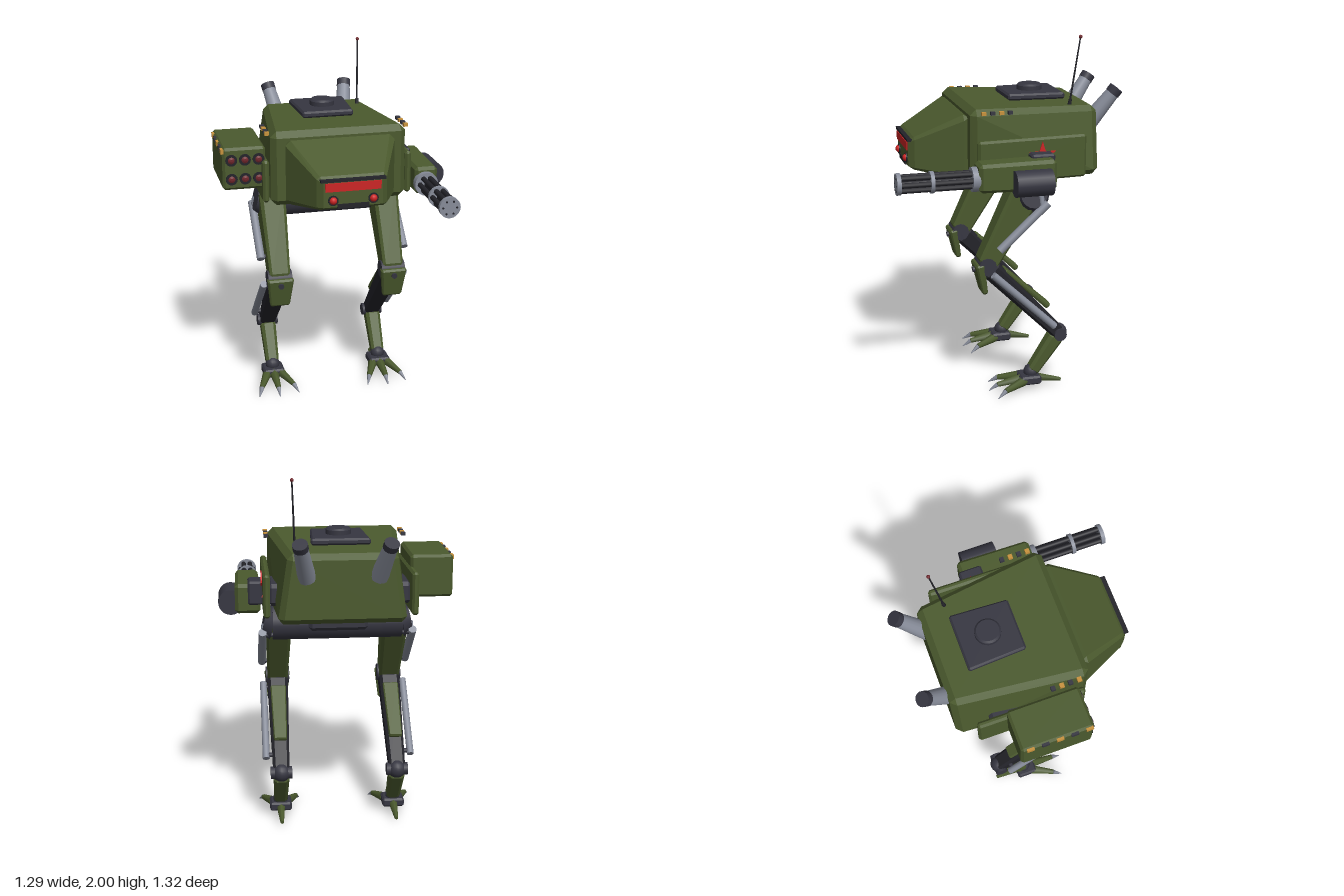
import * as THREE from 'three';
import { ConvexGeometry } from 'three/addons/geometries/ConvexGeometry.js';

const paint = (name, color) => Object.assign(new THREE.MeshStandardMaterial({ color }), { name });
const M = {
  green: paint('olive armour', 0x4b5a2e),
  dark: paint('dark grey joint', 0x363641),
  black: paint('black steel', 0x232329),
  metal: paint('bare metal', 0x878c99),
  red: paint('signal red', 0xcc2424),
  maroon: paint('warhead red', 0x70262c),
  orange: paint('marker orange', 0xc8923c),
};
const V = (x, y, z) => new THREE.Vector3(x, y, z);
const SIDES = [-1, 1];

function add(parent, name, geo, mat, x = 0, y = 0, z = 0) {
  const mesh = new THREE.Mesh(geo, mat);
  mesh.name = name;
  mesh.position.set(x, y, z);
  parent.add(mesh);
  return mesh;
}

// Box with chamfered edges; warp(p) may reshape its corner points
function block(w, h, d, c, warp) {
  const pts = [];
  for (const sx of SIDES) for (const sy of SIDES) for (const sz of SIDES)
    for (let k = 0; k < 3; k++) {
      const p = V(sx * (w / 2 - (k === 0 ? 0 : c)), sy * (h / 2 - (k === 1 ? 0 : c)), sz * (d / 2 - (k === 2 ? 0 : c)));
      if (warp) warp(p);
      pts.push(p);
    }
  return new ConvexGeometry(pts);
}

// Round bar from a to b
function bar(parent, name, mat, a, b, r0, r1 = r0, sides = 12) {
  const dir = b.clone().sub(a);
  const geo = new THREE.CylinderGeometry(r1, r0, dir.length(), sides);
  const mesh = add(parent, name, geo, mat);
  mesh.position.copy(a).add(b).multiplyScalar(0.5);
  mesh.quaternion.setFromUnitVectors(V(0, 1, 0), dir.normalize());
  return mesh;
}

// Tapered chamfered limb from a down to b, with end sizes [width, depth]
function limb(parent, name, mat, a, b, [w0, d0], [w1, d1], c = 0.018) {
  const dir = b.clone().sub(a), len = dir.length();
  const geo = block(w0, len, d0, c, p => {
    const t = 0.5 - p.y / len;
    p.x *= 1 + t * (w1 / w0 - 1);
    p.z *= 1 + t * (d1 / d0 - 1);
  });
  const mesh = add(parent, name, geo, mat);
  mesh.position.copy(a).add(b).multiplyScalar(0.5);
  mesh.quaternion.setFromUnitVectors(V(0, -1, 0), dir.normalize());
}

function buildLeg(s) {
  const leg = new THREE.Group();
  leg.name = s > 0 ? 'leftLeg' : 'rightLeg';
  const hip = V(0, 1.2, -0.09), knee = V(0, 0.77, 0.145), ankle = V(0, 0.325, -0.28), foot = V(0, 0.1, -0.125);
  limb(leg, 'thigh', M.green, hip, knee, [0.15, 0.18], [0.115, 0.11]);
  bar(leg, 'kneeJoint', M.dark, V(-0.068, 0.77, 0.145), V(0.068, 0.77, 0.145), 0.05);
  limb(leg, 'kneeGuard', M.green, V(0, 0.785, 0.188), V(0, 0.61, 0.155), [0.15, 0.05], [0.11, 0.03], 0.01);
  bar(leg, 'kneeBolt', M.dark, V(0, 0.75, 0.18), V(0, 0.745, 0.217), 0.016);
  limb(leg, 'shin', M.black, V(0, 0.75, 0.125), ankle, [0.12, 0.11], [0.09, 0.075]);
  limb(leg, 'calfPlate', M.green, V(0, 0.735, 0.04), V(0, 0.495, -0.215), [0.09, 0.02], [0.075, 0.035], 0.007);
  add(leg, 'ankleJoint', new THREE.SphereGeometry(0.052, 16, 12), M.dark, 0, 0.325, -0.28);
  bar(leg, 'anklePin', M.dark, V(-0.06, 0.325, -0.28), V(0.06, 0.325, -0.28), 0.036);
  limb(leg, 'lowerShank', M.green, V(0, 0.31, -0.27), foot, [0.09, 0.09], [0.075, 0.065]);
  add(leg, 'footJoint', new THREE.SphereGeometry(0.042, 14, 10), M.dark, 0, 0.1, -0.122);

  // Pistons on the outer side
  const px = s * 0.09, qx = s * 0.083;
  bar(leg, 'thighPiston', M.metal, V(px, 1.12, -0.185), V(px, 0.87, 0.085), 0.023);
  bar(leg, 'thighPistonRod', M.metal, V(px * 0.9, 1.16, -0.15), V(px, 1.09, -0.155), 0.014);
  bar(leg, 'shinPiston', M.metal, V(qx, 0.73, 0.12), V(qx, 0.395, -0.235), 0.02);
  for (const [y, z] of [[1.1, -0.165], [0.88, 0.07], [0.71, 0.1], [0.41, -0.22]])
    bar(leg, 'pistonPin', M.dark, V(s * 0.03, y, z), V(s * 0.085, y, z), 0.013);

  // Clawed foot
  add(leg, 'footBlock', block(0.125, 0.05, 0.12, 0.01), M.dark, 0, 0.063, -0.11);
  for (const i of [-1, 0, 1]) {
    const reach = i ? 0.05 : 0.075;
    const end = V(i * 0.096, 0.037, reach);
    bar(leg, 'toe', M.green, V(i * 0.04, 0.062, -0.075), end, 0.028, 0.015, 6);
    bar(leg, 'claw', M.metal, end, V(i * 0.118, 0.005, reach + 0.05), 0.015, 0.002, 6);
  }
  bar(leg, 'backToe', M.green, V(0, 0.06, -0.15), V(0, 0.028, -0.3), 0.026, 0.011, 6);
  leg.position.x = s * 0.328;
  return leg;
}

function buildBody() {
  const body = new THREE.Group();
  body.name = 'body';

  // Hull narrows to the rear, most at the roof
  add(body, 'hull', block(0.756, 0.415, 0.73, 0.033, p => {
    const t = 0.5 - p.z / 0.73, v = p.y / 0.415 + 0.5;
    p.x *= 1 - t * (0.09 + 0.16 * v);
    p.y += 0.015 * t * (1 - v) - 0.025 * t * v;
  }), M.green, 0, 1.4325, -0.135);

  // Wedge cockpit
  add(body, 'cockpit', block(0.63, 0.38, 0.31, 0.03, p => {
    const t = p.z / 0.31 + 0.5, v = p.y / 0.38 + 0.5;
    p.x *= 1 - 0.44 * t;
    p.y += t * (0.06 * (1 - v) - 0.16 * v);
  }), M.green, 0, 1.425, 0.375);
  add(body, 'visor', new THREE.BoxGeometry(0.3, 0.046, 0.014), M.red, 0, 1.417, 0.53);
  add(body, 'visorBrow', new THREE.BoxGeometry(0.35, 0.014, 0.03), M.black, 0, 1.452, 0.522);
  add(body, 'chinVent', new THREE.BoxGeometry(0.17, 0.025, 0.016), M.black, 0, 1.312, 0.527);
  for (const s of SIDES) {
    bar(body, 'lampRing', M.black, V(s * 0.108, 1.345, 0.515), V(s * 0.108, 1.345, 0.536), 0.028, 0.028, 16);
    add(body, 'lamp', new THREE.SphereGeometry(0.021, 14, 10), M.red, s * 0.108, 1.345, 0.532);
  }

  // Roof hatch
  add(body, 'hatch', block(0.32, 0.036, 0.32, 0.01, p => { p.x *= 0.95 - p.z * 0.32; }), M.dark, 0, 1.653, -0.195);
  bar(body, 'hatchKnob', M.dark, V(0, 1.665, -0.195), V(0, 1.695, -0.195), 0.07, 0.07, 24);
  bar(body, 'hatchKnobTop', M.dark, V(0, 1.695, -0.195), V(0, 1.705, -0.195), 0.07, 0.06, 24);

  // Antenna
  bar(body, 'antenna', M.black, V(0.245, 1.61, -0.352), V(0.26, 1.99, -0.405), 0.006, 0.004, 8);
  bar(body, 'antennaBase', M.black, V(0.245, 1.61, -0.352), V(0.247, 1.65, -0.358), 0.012, 0.009, 8);
  add(body, 'antennaTip', new THREE.SphereGeometry(0.01, 10, 8), M.maroon, 0.26, 1.99, -0.405);

  for (const s of SIDES) {
    // Exhausts
    bar(body, 'exhaust', M.metal, V(s * 0.19, 1.49, -0.475), V(s * 0.229, 1.672, -0.61), 0.05, 0.038, 16);
    bar(body, 'exhaustCap', M.dark, V(s * 0.228, 1.667, -0.606), V(s * 0.234, 1.697, -0.628), 0.041, 0.041, 16);
    // Side armour and its mount
    add(body, 'sidePlate', block(0.036, 0.235, 0.6, 0.012, p => { p.y -= p.z * 0.02; }), M.green, s * 0.398, 1.365, -0.1);
    add(body, 'sidePlateMount', block(0.08, 0.12, 0.24, 0.02), M.dark, s * 0.35, 1.36, -0.2);
    // Marker blocks along the roof edge
    for (let i = 0; i < 4; i++)
      add(body, 'roofMarker', new THREE.BoxGeometry(0.024, 0.018, 0.024), i % 2 ? M.orange : M.dark, s * 0.386, 1.622, 0.02 + i * 0.048);
    body.add(buildLeg(s));
  }

  // Pelvis
  bar(body, 'pelvis', M.dark, V(-0.36, 1.16, -0.11), V(0.36, 1.16, -0.11), 0.1, 0.1, 16);
  for (const s of SIDES)
    bar(body, 'hipCap', M.dark, V(s * 0.36, 1.16, -0.11), V(s * 0.41, 1.17, -0.11), 0.1, 0.075, 16);
  add(body, 'pelvisBlock', block(0.33, 0.12, 0.24, 0.02), M.dark, 0, 1.19, -0.11);
  return body;
}

function buildMissilePod() {
  const pod = new THREE.Group();
  pod.name = 'missilePod';
  add(pod, 'podCase', block(0.235, 0.235, 0.4, 0.014), M.green, -0.523, 1.433, -0.04);
  for (let col = 0; col < 3; col++) for (const y of [1.378, 1.484]) {
    const x = -0.593 + col * 0.074;
    bar(pod, 'launchTube', M.black, V(x, y, 0.14), V(x, y, 0.167), 0.032, 0.032, 16);
    bar(pod, 'warhead', M.maroon, V(x, y, 0.166), V(x, y, 0.172), 0.021, 0.008, 14);
  }
  for (let i = 0; i < 5; i++)
    add(pod, 'podMarker', new THREE.BoxGeometry(0.016, 0.025, 0.04), i % 2 ? M.dark : M.orange, -0.639, 1.531, -0.19 + i * 0.081);
  return pod;
}

function buildGun() {
  const gun = new THREE.Group();
  gun.name = 'rotaryGun';
  const x = 0.475, y = 1.3;
  add(gun, 'gunHousing', block(0.14, 0.165, 0.42, 0.018, p => {
    if (p.z > 0) { p.x *= 0.92; p.y *= 0.92; }
  }), M.green, 0.483, 1.312, 0.02);
  add(gun, 'gunMount', block(0.08, 0.13, 0.13, 0.01), M.dark, 0.442, 1.345, -0.135);
  bar(gun, 'ammoDrum', M.dark, V(0.575, 1.285, -0.15), V(0.575, 1.285, 0.05), 0.07, 0.07, 20);
  for (const [name, z0, z1, r] of [['collar', 0.22, 0.26, 0.066], ['barrelRing', 0.46, 0.48, 0.058], ['muzzleRing', 0.635, 0.657, 0.058]])
    bar(gun, name, M.metal, V(x, y, z0), V(x, y, z1), r, r, 20);
  bar(gun, 'spindle', M.black, V(x, y, 0.25), V(x, y, 0.64), 0.014);
  for (let i = 0; i < 6; i++) {
    const a = i * Math.PI / 3, bx = x + 0.038 * Math.cos(a), by = y + 0.038 * Math.sin(a);
    bar(gun, 'barrel', M.black, V(bx, by, 0.24), V(bx, by, 0.64), 0.0145, 0.0145, 10);
    bar(gun, 'bore', M.black, V(bx, by, 0.655), V(bx, by, 0.659), 0.006, 0.006, 8);
  }
  return gun;
}

// Red five-pointed marking on the left side plate
function buildMarking() {
  const pts = [];
  for (let i = 0; i < 10; i++) {
    const r = i % 2 ? 0.03 : 0.077, a = Math.PI / 2 + i * Math.PI / 5;
    pts.push(new THREE.Vector2(r * Math.cos(a), r * Math.sin(a)));
  }
  const geo = new THREE.ExtrudeGeometry(new THREE.Shape(pts), { depth: 0.008, bevelEnabled: false });
  const mesh = new THREE.Mesh(geo, M.red);
  mesh.name = 'sideMarking';
  mesh.position.set(0.403, 1.385, -0.15);
  mesh.rotation.y = Math.PI / 2;
  return mesh;
}

export function createModel() {
  const model = new THREE.Group();
  model.name = 'walker';
  const body = buildBody();
  body.position.x = -0.013;
  model.add(body, buildMissilePod(), buildGun(), buildMarking());
  return model;
}
